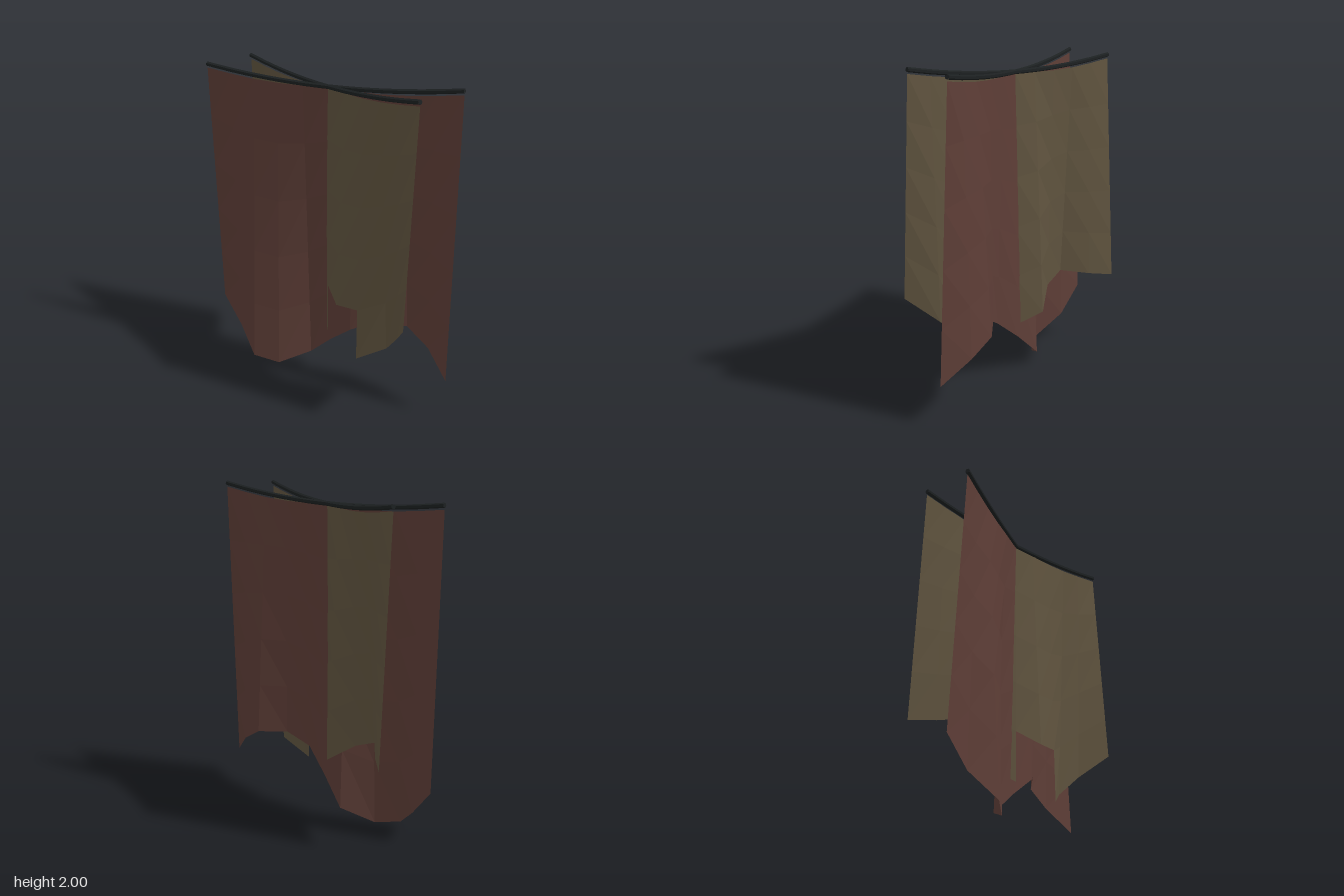
import * as THREE from 'three';

const COLS = 10, ROWS = 5;

const material = (name, color, extra = {}) => {
  const m = new THREE.MeshStandardMaterial({ color, ...extra });
  m.name = name;
  return m;
};

// Height of the sagging rod, t from -1 (right end) to 1 (left end)
const rodHeight = (t) => 1.883 + 0.042 * t + 0.06 * t * t;

// Curved rod with closed ends
function makeRod(halfX, endZ, mat) {
  const group = new THREE.Group();
  group.name = 'rod';
  const points = [];
  for (let i = 0; i <= COLS; i++) {
    const t = -1 + (2 * i) / COLS;
    points.push(new THREE.Vector3(t * halfX, rodHeight(t), t * endZ));
  }
  const curve = new THREE.CatmullRomCurve3(points);
  const tube = new THREE.Mesh(new THREE.TubeGeometry(curve, 20, 0.014, 6), mat);
  tube.name = 'rodTube';
  group.add(tube);
  for (const u of [0, 1]) {
    const cap = new THREE.Mesh(new THREE.CircleGeometry(0.014, 6), mat);
    cap.name = 'rodCap';
    const p = curve.getPoint(u);
    const dir = curve.getTangent(u).multiplyScalar(u ? 1 : -1);
    cap.position.copy(p);
    cap.lookAt(p.clone().add(dir));
    group.add(cap);
  }
  return group;
}

// Hanging cloth: straight under the rod, folds growing towards a ragged hem.
// hem holds [x, y, z] for each column; torn lists missing [row, column] cells.
function makeCloth(name, halfX, endZ, hem, torn, mat) {
  const geo = new THREE.PlaneGeometry(1, 1, COLS, ROWS);
  const pos = geo.attributes.position;
  for (let r = 0; r <= ROWS; r++) {
    for (let c = 0; c <= COLS; c++) {
      const t = -1 + (2 * c) / COLS, k = r / ROWS;
      const gap = 0.006 + 0.018 * Math.min(1, Math.abs(t) * 2);
      const top = [t * halfX, rodHeight(t) - gap, t * endZ];
      const [x, y, z] = top.map((v, i) => v + (hem[c][i] - v) * k);
      pos.setXYZ(r * (COLS + 1) + c, x, y, z);
    }
  }
  const isTorn = (cell) => torn.some(([r, c]) => r * COLS + c === cell);
  const index = Array.from(geo.index.array).filter((_, i) => !isTorn(Math.floor(i / 6)));
  geo.setIndex(index);
  geo.computeVertexNormals();
  const mesh = new THREE.Mesh(geo, mat);
  mesh.name = name;
  return mesh;
}

export function createModel() {
  const cloth = { flatShading: true, side: THREE.DoubleSide };
  const red = material('dull red cloth', 0x5e3e37, cloth);
  const olive = material('olive cloth', 0x60543f, cloth);
  const dark = material('dark rod', 0x1c2021, { flatShading: true });

  const model = new THREE.Group();
  model.name = 'crossedHangings';

  // Long red hanging
  const redHem = [
    [-0.84, 0.31, 0.08], [-0.67, 0.15, 0.1], [-0.48, 0.03, 0.178], [-0.33, 0, 0.105],
    [-0.18, 0.08, -0.04], [0, 0.24, -0.02], [0.18, 0.38, 0], [0.32, 0.455, -0.07],
    [0.48, 0.44, -0.178], [0.65, 0.36, -0.165], [0.84, 0.24, -0.09],
  ];
  const redHanging = new THREE.Group();
  redHanging.name = 'redHanging';
  redHanging.add(
    makeRod(0.825, -0.163, dark),
    makeCloth('redCloth', 0.825, -0.163, redHem, [], red),
  );

  // Shorter olive hanging with two cells torn out of the hem
  const oliveHem = [
    [-0.76, 0.47, -0.23], [-0.62, 0.5, -0.14], [-0.47, 0.54, -0.02], [-0.31, 0.49, -0.03],
    [-0.14, 0.38, -0.11], [0, 0.31, 0], [0.14, 0.245, 0.1], [0.305, 0.265, 0.09],
    [0.48, 0.37, 0.02], [0.61, 0.51, 0.09], [0.76, 0.67, 0.228],
  ];
  const oliveHanging = new THREE.Group();
  oliveHanging.name = 'oliveHanging';
  oliveHanging.add(
    makeRod(0.77, 0.153, dark),
    makeCloth('oliveCloth', 0.77, 0.153, oliveHem, [[4, 5], [4, 6]], olive),
  );

  model.add(redHanging, oliveHanging);
  return model;
}
